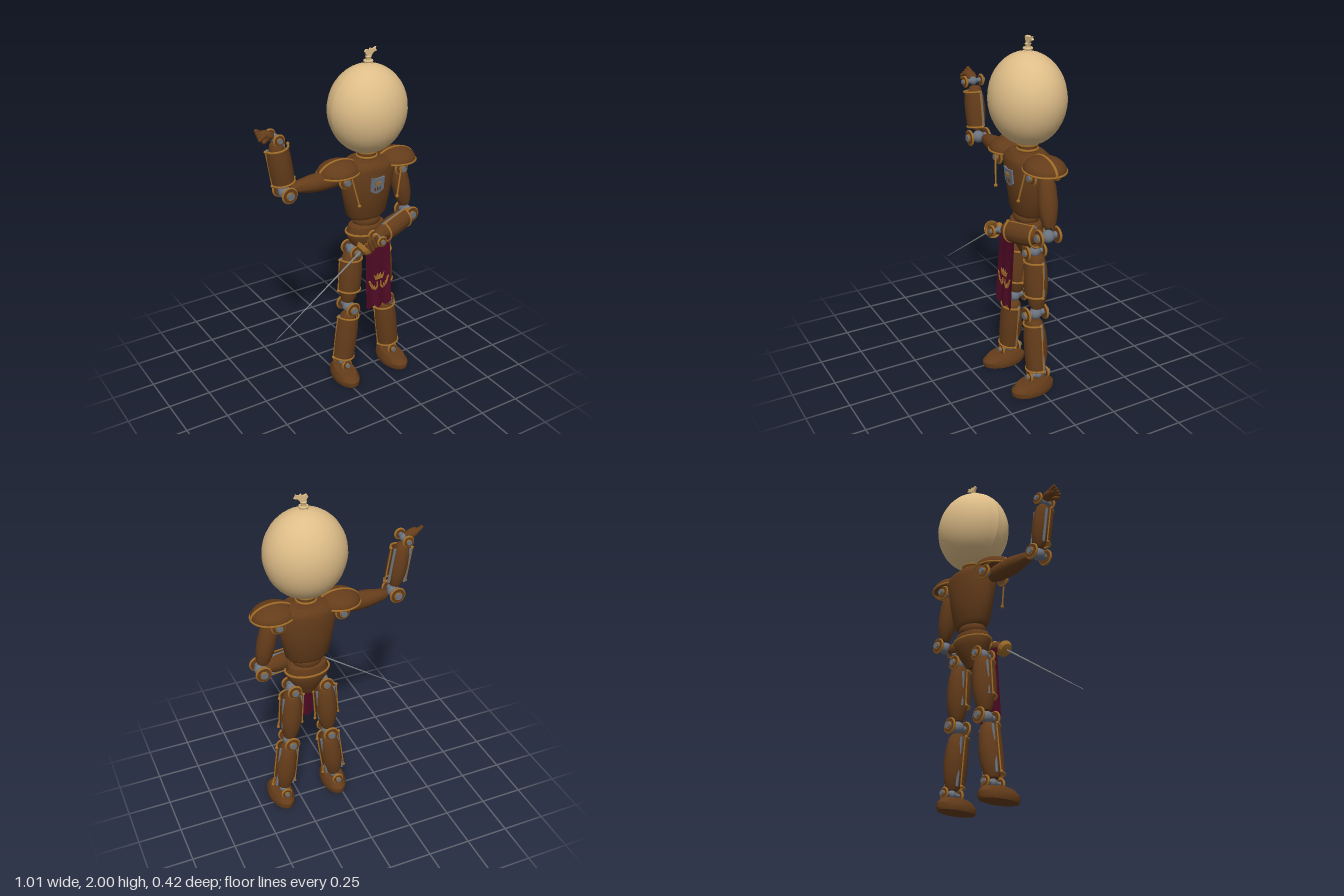
import * as THREE from 'three';
import { toCreasedNormals } from 'three/addons/utils/BufferGeometryUtils.js';

const V = (x, y, z) => new THREE.Vector3(x, y, z);
const CX = 0.187; // body centre line

export function createModel() {
  const root = new THREE.Group();
  const mat = (name, color, side = THREE.FrontSide) => Object.assign(new THREE.MeshStandardMaterial({ color, side }), { name });
  const wood = mat('brown', 0x643c1a, THREE.DoubleSide);
  const gold = mat('gold', 0xa06c28);
  const steel = mat('steel', 0x6a727e);
  const cream = mat('cream', 0xdebd88);
  const cloth = mat('crimson', 0x4e0a24, THREE.DoubleSide);
  const blade = mat('bladeGrey', 0x82888a);

  // ---------- helpers ----------
  const add = (parent, name, geo, m, x = 0, y = 0, z = 0) => {
    const mesh = new THREE.Mesh(geo, m);
    mesh.name = name;
    mesh.position.set(x, y, z);
    parent.add(mesh);
    return mesh;
  };
  const lathe = (pts, sx = 1, sz = 1, start = 0, len = Math.PI * 2) => {
    const g = new THREE.LatheGeometry(pts.map(p => new THREE.Vector2(p[0], p[1])), 28, start, len);
    g.scale(sx, 1, sz);
    return toCreasedNormals(g, 0.6);
  };
  const ball = (rx, ry = rx, rz = rx) => new THREE.SphereGeometry(1, 28, 20).scale(rx, ry, rz);
  const ring = (r, t, arc = Math.PI * 2) => new THREE.TorusGeometry(r, t, 8, 32, arc).rotateX(Math.PI / 2);
  // group whose y axis runs from a to b
  const segment = (name, a, b) => {
    const g = new THREE.Group(), d = b.clone().sub(a);
    g.name = name;
    g.position.copy(a);
    g.userData.len = d.length();
    g.quaternion.setFromUnitVectors(V(0, 1, 0), d.normalize());
    root.add(g);
    return g;
  };
  // rounded limb core along a segment; profile holds [radius, fraction]
  const core = (g, profile, r) => add(g, 'limbCore', lathe(profile.map(p => [p[0] * r, p[1] * g.userData.len])), wood);
  const oval = [[0, 0], [0.55, 0.01], [0.75, 0.1], [0.95, 0.3], [1, 0.5], [0.92, 0.75], [0.68, 0.95], [0.5, 0.99], [0, 1]];
  // front half-barrel armour with gold rims, edge strips and studs
  const plate = (g, r, y0, y1) => {
    const h = y1 - y0, m = (y0 + y1) / 2;
    add(g, 'armourPlate', lathe([[r * 0.93, y0], [r, y0 + h * 0.3], [r, y0 + h * 0.7], [r * 0.93, y1]], 1, 1, -Math.PI / 2, Math.PI), wood);
    for (const y of [y0, y1]) {
      add(g, 'armourRim', ring(r * 0.95, 0.006, Math.PI), gold, 0, y, 0);
      for (const s of [-1, 1]) add(g, 'rimStud', ball(0.009), gold, s * r, y, 0.004);
    }
    for (const s of [-1, 1]) {
      add(g, 'armourEdge', new THREE.CylinderGeometry(0.004, 0.004, h, 8), gold, s * r * 0.98, m, 0);
      add(g, 'innerRod', new THREE.CylinderGeometry(0.008, 0.008, h, 10), steel, s * r * 0.72, m, -0.012);
    }
  };
  // hinge with its axle along z
  const joint = (name, x, y, z, r, half) => {
    const g = new THREE.Group();
    g.name = name;
    g.position.set(x, y, z);
    root.add(g);
    const disc = (n, rad, d, m, dz) => add(g, n, new THREE.CylinderGeometry(rad, rad, d, 24).rotateX(Math.PI / 2), m, 0, 0, dz);
    add(g, 'hingeBall', ball(r * 0.8), steel);
    disc('axle', r * 0.42, half * 2, steel, 0);
    for (const s of [-1, 1]) {
      disc('hingeDisc', r * 0.92, 0.014, wood, s * half * 0.72);
      add(g, 'hingeRing', new THREE.TorusGeometry(r * 0.92, 0.007, 8, 28), gold, 0, 0, s * half * 0.72);
      disc('hingeCap', r * 0.52, 0.008, gold, s * half * 0.85);
    }
    return g;
  };

  // ---------- head, knot and neck ----------
  const head = add(root, 'head', ball(0.226, 0.247, 0.203), cream, CX - 0.002, 1.668, -0.012);
  const hp = head.geometry.attributes.position;
  for (let i = 0; i < hp.count; i++) {
    const k = 1 + 0.05 * Math.min(0, hp.getY(i) / 0.247) * (1 - Math.abs(hp.getY(i)) / 0.247);
    hp.setX(i, hp.getX(i) * k);
  }
  head.geometry.computeVertexNormals();
  add(root, 'knotStalk', lathe([[0.03, 1.9], [0.014, 1.925], [0.012, 1.94], [0.018, 1.955], [0, 1.96]]), cream, CX, 0, -0.012);
  add(root, 'knotRing', ring(0.02, 0.007), cream, CX, 1.93, -0.012);
  const tail = new THREE.Shape([[0, 0], [0.012, 0], [0.035, 0.028], [0.056, 0.034], [0.046, 0.044], [0.05, 0.054], [0.026, 0.044],
    [0.016, 0.052], [0.008, 0.042], [-0.012, 0.048], [-0.02, 0.036]].map(p => new THREE.Vector2(...p)));
  add(root, 'knotTail', new THREE.ExtrudeGeometry(tail, { depth: 0.012, bevelEnabled: false }), cream, CX - 0.004, 1.946, -0.018);
  add(root, 'neck', new THREE.CylinderGeometry(0.05, 0.055, 0.08, 24), wood, CX, 1.41, -0.015);
  for (const y of [1.398, 1.425]) add(root, 'neckRing', ring(0.054, 0.007), gold, CX, y, -0.015);

  // ---------- torso and pelvis ----------
  add(root, 'torso', lathe([[0, 1.03], [0.105, 1.032], [0.125, 1.055], [0.15, 1.18], [0.176, 1.33], [0.165, 1.36], [0.125, 1.385], [0, 1.39]], 1, 0.66), wood, CX, 0, -0.015);
  add(root, 'waist', ball(0.085, 0.055, 0.07), wood, CX, 1.015, -0.01);
  add(root, 'pelvis', lathe([[0, 0.775], [0.035, 0.785], [0.075, 0.84], [0.115, 0.9], [0.125, 0.94], [0.11, 0.985], [0.075, 1.0], [0, 1.0]], 1, 0.7), wood, CX, 0, -0.008);
  add(root, 'belt', ring(0.127, 0.007).scale(1, 1, 0.71), gold, CX, 0.945, -0.008);

  // crown ornament, thin
  const crown = (s, d) => {
    const pts = [[-0.7, -0.5], [0.7, -0.5], [1, 0.5], [0.5, 0], [0.3, 0.65], [0, 0.1], [-0.3, 0.65], [-0.5, 0], [-1, 0.5]];
    return new THREE.ExtrudeGeometry(new THREE.Shape(pts.map(p => new THREE.Vector2(p[0] * s, p[1] * s))), { depth: d, bevelEnabled: false });
  };
  // chest shield
  const shield = new THREE.Shape();
  shield.moveTo(-0.042, 0.048);
  shield.quadraticCurveTo(0, 0.036, 0.042, 0.048);
  shield.lineTo(0.042, -0.03);
  shield.quadraticCurveTo(0.03, -0.045, 0, -0.052);
  shield.quadraticCurveTo(-0.03, -0.045, -0.042, -0.03);
  const badge = new THREE.Group();
  badge.name = 'chestBadge';
  badge.position.set(CX, 1.258, 0.092);
  badge.rotation.x = 0.11;
  root.add(badge);
  add(badge, 'shieldPlate', new THREE.ExtrudeGeometry(shield, { depth: 0.009, bevelEnabled: false }), steel);
  add(badge, 'shieldCrown', crown(0.02, 0.004), gold, 0, 0.012, 0.009);
  for (const x of [-0.016, 0, 0.016]) add(badge, 'shieldBar', new THREE.BoxGeometry(0.006, 0.022, 0.004), wood, x, -0.022, 0.01);

  // ---------- shoulders ----------
  for (const s of [-1, 1]) {
    const p = new THREE.Group(), x = CX + s * 0.187;
    p.name = s > 0 ? 'leftPauldron' : 'rightPauldron';
    p.position.set(x, 1.338, -0.01);
    p.rotation.z = -s * 0.04;
    root.add(p);
    add(p, 'pauldronDome', new THREE.SphereGeometry(1, 28, 12, 0, Math.PI * 2, 0, Math.PI / 2).scale(0.122, 0.07, 0.112), wood);
    add(p, 'pauldronRim', ring(1, 0.05).scale(0.122, 0.12, 0.112), gold);
    add(p, 'pauldronBand', new THREE.TorusGeometry(1, 0.05, 8, 28, Math.PI).scale(0.122, 0.071, 0.16), gold);
    joint(s > 0 ? 'leftShoulder' : 'rightShoulder', x - s * 0.004, 1.305, -0.01, 0.04, 0.1);
    // hanging strap
    const a = V(CX + s * 0.165, 1.34, 0.09), g = segment('chestStrap', a, V(CX + s * 0.125, 1.165, 0.11));
    add(g, 'strapBar', new THREE.CylinderGeometry(0.005, 0.005, g.userData.len, 8), gold, 0, g.userData.len / 2, 0);
    add(g, 'strapStud', ball(0.01), gold, 0, g.userData.len, 0);
  }

  // ---------- legs ----------
  for (const s of [-1, 1]) {
    const side = s > 0 ? 'left' : 'right', X = d => CX + s * d;
    joint(side + 'Hip', X(0.095), 0.835, -0.01, 0.04, 0.07);
    const thigh = segment(side + 'Thigh', V(X(0.118), 0.495, -0.015), V(X(0.098), 0.82, -0.02));
    core(thigh, oval, 0.063);
    plate(thigh, 0.073, 0.085, 0.285);
    joint(side + 'Knee', X(0.121), 0.465, -0.005, 0.044, 0.078);
    const shin = segment(side + 'Shin', V(X(0.163), 0.115, 0), V(X(0.125), 0.43, 0));
    core(shin, oval, 0.062);
    plate(shin, 0.07, 0.02, 0.295);
    joint(side + 'Ankle', X(0.166), 0.095, 0, 0.03, 0.075);
    // foot, lower toward the toe
    const foot = new THREE.LatheGeometry([[0, 0], [0.95, 0], [1, 0.012], [1, 0.04], [0.78, 0.07], [0, 0.075]].map(p => new THREE.Vector2(...p)), 28);
    const fp = foot.attributes.position;
    for (let i = 0; i < fp.count; i++) {
      const z = fp.getZ(i), y = fp.getY(i);
      fp.setXYZ(i, fp.getX(i) * 0.073 * (z < 0 ? 1 + 0.08 * z : 1), y * (1 - 0.15 * Math.max(0, z)), z * 0.133);
    }
    add(root, side + 'Foot', toCreasedNormals(foot, 0.6), wood, X(0.172), 0, 0.038).rotation.y = s * 0.05;
  }

  // fingers as short rounded rods
  const finger = (g, a, b, r = 0.012) => {
    const d = b.clone().sub(a), f = add(g, 'finger', new THREE.CapsuleGeometry(r, d.length(), 4, 10), wood);
    f.position.copy(a).add(b).multiplyScalar(0.5);
    f.quaternion.setFromUnitVectors(V(0, 1, 0), d.normalize());
  };

  // ---------- raised right arm ----------
  const armR = segment('rightUpperArm', V(0.02, 1.305, -0.01), V(-0.3, 1.312, -0.008));
  core(armR, [[0, 0], [0.7, 0.01], [0.92, 0.15], [1, 0.4], [0.95, 0.6], [0.62, 0.9], [0.42, 0.97], [0, 1]], 0.052);
  joint('rightElbow', -0.342, 1.307, 0.008, 0.044, 0.075);
  const foreR = segment('rightForearm', V(-0.346, 1.345, 0.005), V(-0.388, 1.6, 0.005));
  core(foreR, oval, 0.05);
  plate(foreR, 0.066, 0.025, 0.225);
  joint('rightWrist', -0.395, 1.625, 0.01, 0.03, 0.07);
  const handR = new THREE.Group();
  handR.name = 'rightHand';
  root.add(handR);
  add(handR, 'palm', ball(0.048, 0.025, 0.03), wood, -0.435, 1.645, 0.005).rotation.z = -0.35;
  for (let i = 0; i < 4; i++) finger(handR, V(-0.455, 1.655, -0.012 + i * 0.013), V(-0.489, 1.675 - i * 0.012, -0.005 + i * 0.013), 0.011);
  finger(handR, V(-0.44, 1.63, 0.02), V(-0.47, 1.628, 0.042));

  // ---------- left arm on the sword ----------
  const armL = segment('leftUpperArm', V(0.445, 1.04, 0), V(0.385, 1.32, -0.012));
  core(armL, oval, 0.053);
  joint('leftElbow', 0.452, 0.997, 0.01, 0.044, 0.075);
  const foreL = segment('leftForearm', V(0.44, 0.99, 0.035), V(0.17, 0.953, 0.12));
  core(foreL, oval, 0.054);
  plate(foreL, 0.064, 0.04, 0.225);
  joint('leftWrist', 0.165, 0.952, 0.14, 0.028, 0.065);
  const handL = new THREE.Group();
  handL.name = 'leftHand';
  root.add(handL);
  add(handL, 'palm', ball(0.045, 0.03, 0.03), wood, 0.135, 0.94, 0.135).rotation.z = 0.4;
  for (let i = 0; i < 4; i++) {
    const x = 0.083 + i * 0.02, y = 0.918 + i * 0.012;
    finger(handL, V(x, y + 0.02, 0.16), V(x + 0.014, y - 0.022, 0.168), 0.0115);
  }

  // ---------- sword ----------
  const sword = segment('sword', V(0.155, 0.97, 0.138), V(-0.503, 0.506, 0.149));
  const L = sword.userData.len;
  add(sword, 'blade', new THREE.CylinderGeometry(0.0015, 0.0055, L - 0.11, 8), blade, 0, 0.11 + (L - 0.11) / 2, 0);
  add(sword, 'grip', new THREE.CylinderGeometry(0.012, 0.012, 0.11, 12), gold, 0, 0.055, 0);
  add(sword, 'pommel', ball(0.017), gold);
  add(sword, 'guard', lathe([[0.046, 0.092], [0.05, 0.096], [0.036, 0.118], [0, 0.126], [0, 0.12], [0.033, 0.11], [0.046, 0.092]].reverse()), gold).material.side = THREE.DoubleSide;

  // ---------- hanging banner ----------
  const banner = new THREE.Group();
  banner.name = 'banner';
  banner.position.set(CX + 0.002, 0.93, 0.108);
  banner.rotation.x = -0.05;
  root.add(banner);
  const sheet = new THREE.PlaneGeometry(0.175, 0.42, 32, 12).translate(0, -0.21, 0);
  const bp = sheet.attributes.position;
  for (let i = 0; i < bp.count; i++) {
    const x = bp.getX(i), t = -bp.getY(i) / 0.42;
    bp.setX(i, x * (0.92 + 0.08 * t));
    bp.setY(i, bp.getY(i) - t * t * 0.02 * Math.abs(Math.cos(x * 54)));
    bp.setZ(i, 0.006 * t * Math.cos(x * 72));
  }
  sheet.computeVertexNormals();
  add(banner, 'bannerCloth', sheet, cloth);
  add(banner, 'bannerCrown', crown(0.036, 0.004), gold, 0, -0.235, 0.007);
  for (const s of [-1, 1]) {
    for (let i = 0; i < 5; i++) {
      const a = -0.2 - i * 0.36;
      add(banner, 'bannerLeaf', ball(0.007, 0.014, 0.003), gold, s * 0.062 * Math.cos(a * 0.75), -0.25 + 0.062 * Math.sin(a * 0.75), 0.008).rotation.z = -s * (0.5 - i * 0.3);
    }
    add(banner, 'bannerStem', new THREE.BoxGeometry(0.007, 0.034, 0.004), gold, s * 0.012, -0.285, 0.008);
  }
  return root;
}
